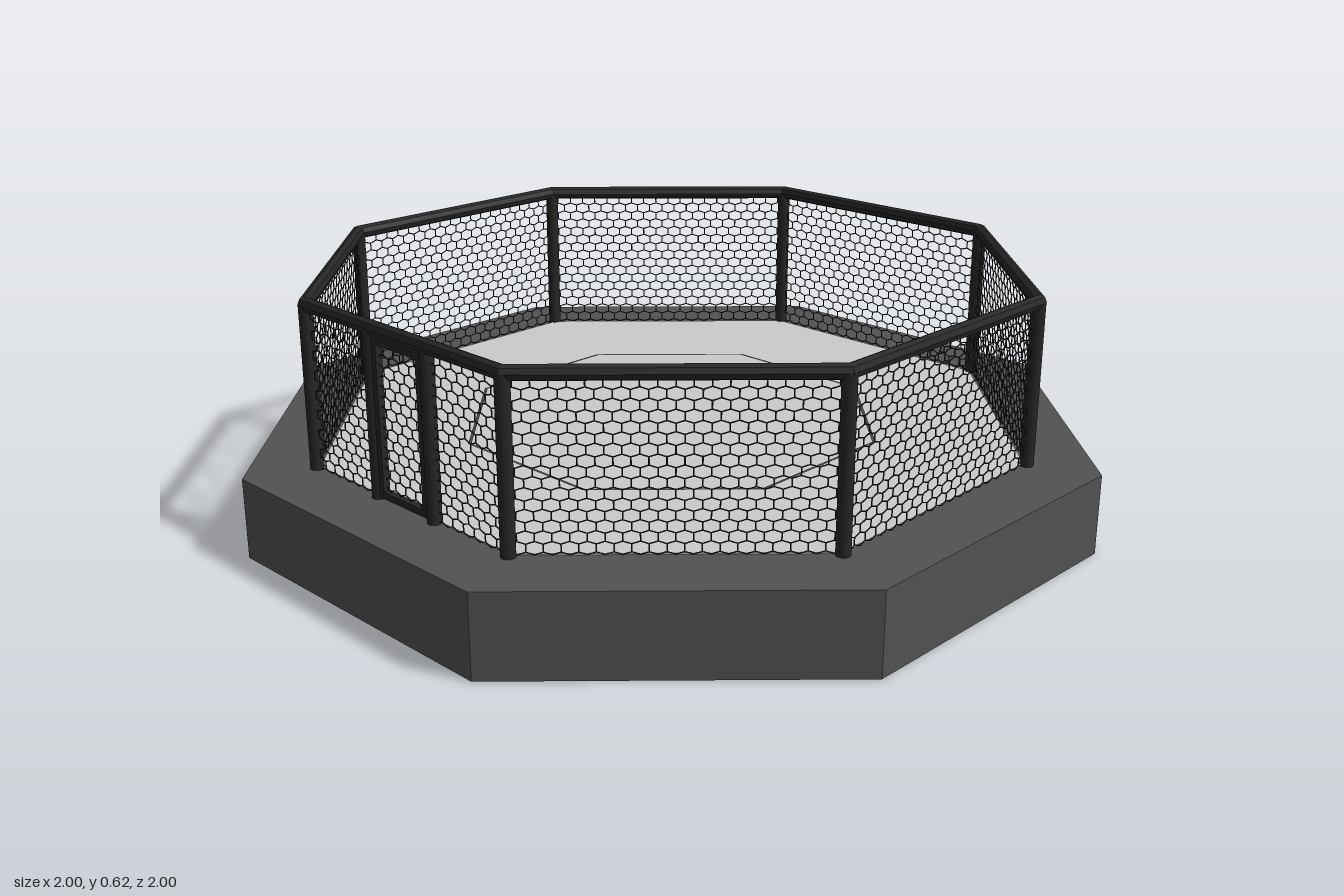
import * as THREE from 'three';
import { mergeGeometries } from 'three/addons/utils/BufferGeometryUtils.js';

const FLOOR = 0.2;        // platform height
const RAIL_Y = 0.602;     // centre of the top rail
const FENCE = 0.838;      // distance from centre to each fence side
const HALF = FENCE * Math.tan(Math.PI / 8);
const corner = (apothem) => apothem / Math.cos(Math.PI / 8);

const mat = (color, flatShading = false) => new THREE.MeshStandardMaterial({ color, flatShading });

function addMesh(parent, name, geometry, material, x = 0, y = 0, z = 0) {
  const mesh = new THREE.Mesh(geometry, material);
  mesh.name = name;
  mesh.position.set(x, y, z);
  parent.add(mesh);
  return mesh;
}

// Octagonal slab with flat sides facing the axes
const octagon = (apothem, height) =>
  new THREE.CylinderGeometry(corner(apothem), corner(apothem), height, 8, 1, false, Math.PI / 8);

// Thin three-sided wire between two points of the panel plane
function wire(x1, y1, x2, y2) {
  const g = new THREE.CylinderGeometry(0.0018, 0.0018, Math.hypot(x2 - x1, y2 - y1), 3, 1, true);
  g.rotateZ(Math.atan2(y2 - y1, x2 - x1) - Math.PI / 2);
  g.translate((x1 + x2) / 2, (y1 + y2) / 2, 0);
  return g;
}

// Hexagonal wire netting: zigzag courses joined by staggered uprights
function nettingGeometry(halfWidth, bottom, top) {
  const rows = 16, cols = 19;
  const w = (2 * halfWidth) / cols, h = (top - bottom) / rows, zig = 0.006;
  const wires = [];
  for (let r = 0; r <= rows; r++) {
    const y = bottom + r * h;
    for (let c = 0; c < cols * 2; c++) {
      const x = -halfWidth + (c * w) / 2;
      const up = (c + r) % 2 === 0;
      const low = y - zig / 2, high = y + zig / 2;
      wires.push(wire(x, up ? high : low, x + w / 2, up ? low : high));
      if (up && r < rows) wires.push(wire(x, high, x, y + h - zig / 2));
    }
  }
  return mergeGeometries(wires);
}

export function createModel() {
  const model = new THREE.Group();
  model.name = 'octagonalFightingCage';

  const baseMat = mat(0x525252, true);
  const canvasMat = mat(0xcccccc, true);
  const lineMat = mat(0x444444);
  const frameMat = mat(0x262626);
  const railMat = mat(0x262626, true);
  const wireMat = mat(0x262626);
  wireMat.side = THREE.DoubleSide;

  // Platform, floor canvas and the line painted on it
  addMesh(model, 'platform', octagon(1, FLOOR), baseMat, 0, FLOOR / 2, 0);
  addMesh(model, 'canvas', octagon(0.832, 0.004), canvasMat, 0, FLOOR + 0.001, 0);
  const line = new THREE.RingGeometry(corner(0.491), corner(0.499), 8, 1, Math.PI / 8);
  line.rotateX(-Math.PI / 2);
  addMesh(model, 'floorLine', line, lineMat, 0, FLOOR + 0.0045, 0);

  // Padded top rail, mitred at the eight corners
  const rail = new THREE.TorusGeometry(corner(FENCE), 0.018, 8, 8);
  rail.rotateZ(Math.PI / 8);
  rail.rotateX(Math.PI / 2);
  addMesh(model, 'topRail', rail, railMat, 0, RAIL_Y, 0);

  // Eight fence sides, each with netting and one corner post
  const netting = nettingGeometry(HALF, FLOOR + 0.006, RAIL_Y - 0.01);
  const postHeight = RAIL_Y - FLOOR;
  const post = new THREE.CylinderGeometry(0.017, 0.017, postHeight, 16);
  for (let i = 0; i < 8; i++) {
    const side = new THREE.Group();
    side.name = 'fenceSide' + (i + 1);
    side.rotation.y = (i * Math.PI) / 4;
    addMesh(side, 'netting', netting, wireMat, 0, 0, FENCE);
    addMesh(side, 'cornerPost', post, frameMat, HALF, FLOOR + postHeight / 2, FENCE);
    model.add(side);
  }

  // Gate in the front side: two posts and a rectangular door frame
  const gate = new THREE.Group();
  gate.name = 'gate';
  const doorBottom = FLOOR + 0.006, doorTop = 0.585, bar = 0.017;
  const stile = new THREE.BoxGeometry(bar, doorTop - doorBottom, bar);
  const crossbar = new THREE.BoxGeometry(0.16, bar, bar);
  for (const s of [-1, 1]) {
    addMesh(gate, 'gatePost', post, frameMat, s * 0.101, FLOOR + postHeight / 2, FENCE);
    addMesh(gate, 'doorStile', stile, frameMat, s * 0.079, (doorTop + doorBottom) / 2, FENCE);
  }
  for (const y of [doorBottom + bar / 2, doorTop - bar / 2])
    addMesh(gate, 'doorCrossbar', crossbar, frameMat, 0, y, FENCE);
  model.add(gate);

  return model;
}
